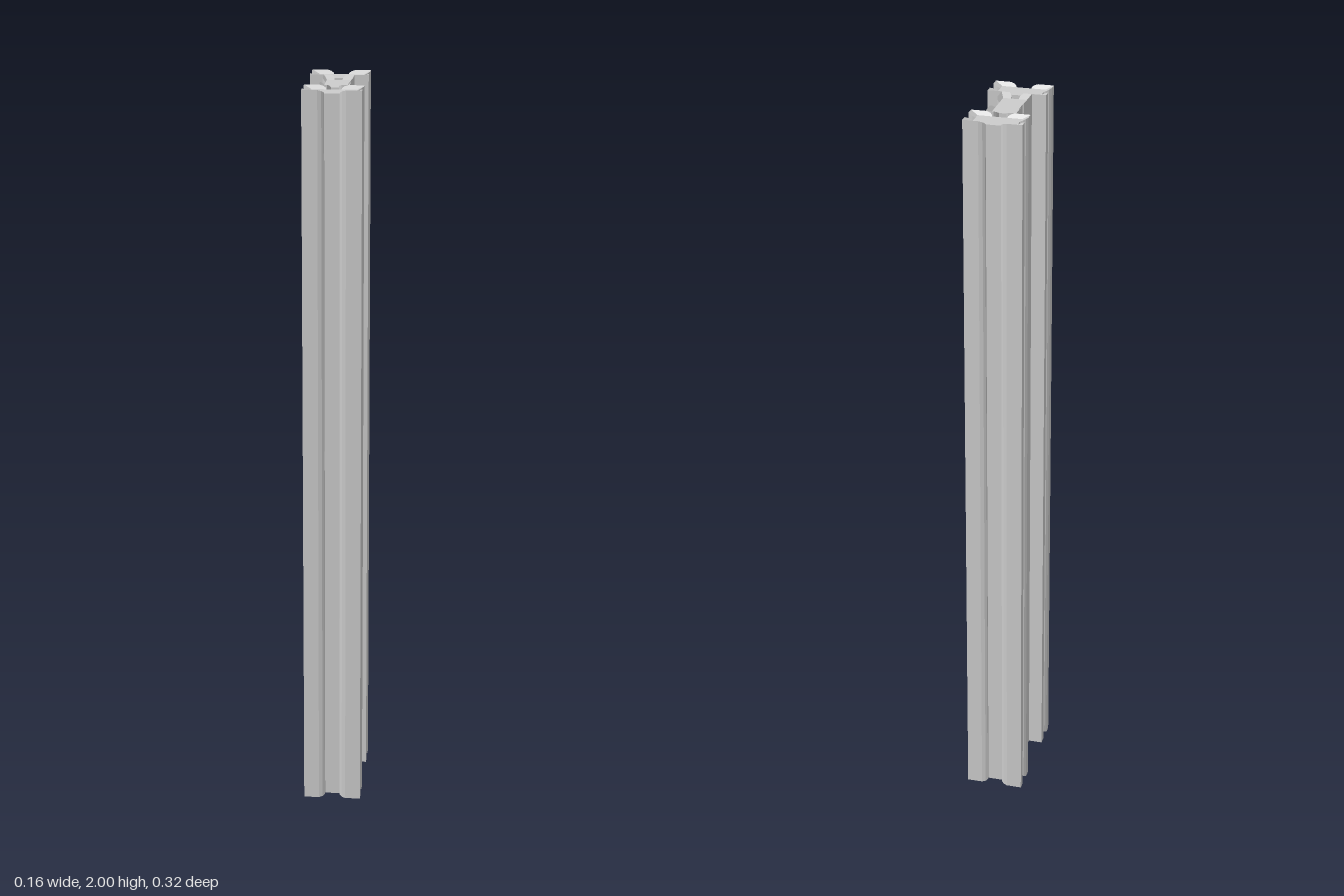
import * as THREE from 'three';

const H = 2, DROP = 0.01;            // bar height, recess of the core's ends
const A = 0.0585, B = 0.031;         // core half length and half width
const AO = 0.0785, BO = 0.0405;      // outer half length and half width

const material = new THREE.MeshStandardMaterial({ color: 0xcccccc, flatShading: true });

// Strip sections in one corner, each meeting its neighbour on a mitre line
const longSection = [[A, B], [AO, BO], [0.037, BO], [0.027, 0.038], [0.021, 0.034], [0.02, B]];
const shortSection = [[A, B], [AO, BO], [AO, 0.019], [0.073, 0.0135], [0.066, 0.011], [A, 0.0105]];

// Upright strip whose ends slope up from the core to the outer edge
function strip(section, sx, sz, name, slope) {
  const shape = new THREE.Shape(section.map(([x, z]) => new THREE.Vector2(x * sx, z * sz)));
  const geo = new THREE.ExtrudeGeometry(shape, { depth: H, bevelEnabled: false });
  geo.rotateX(-Math.PI / 2);
  const p = geo.attributes.position;
  for (let i = 0; i < p.count; i++) {
    const inset = DROP * (1 - slope(Math.abs(p.getX(i)), Math.abs(p.getZ(i))));
    p.setY(i, p.getY(i) > H / 2 ? H - inset : inset);
  }
  geo.computeVertexNormals();
  const mesh = new THREE.Mesh(geo, material);
  mesh.name = name;
  return mesh;
}

// One bar: a plain core with folded strips on its four corners
function bar(name) {
  const group = new THREE.Group();
  group.name = name;
  const core = new THREE.Mesh(new THREE.BoxGeometry(2 * A, H - 2 * DROP, 2 * B), material);
  core.position.y = H / 2;
  core.name = 'core';
  group.add(core);
  for (const sx of [-1, 1]) {
    for (const sz of [-1, 1]) {
      group.add(strip(longSection, sx, sz, 'faceStrip', (x, z) => (z - B) / (BO - B)));
      group.add(strip(shortSection, sx, sz, 'sideStrip', (x) => (x - A) / (AO - A)));
    }
  }
  return group;
}

export function createModel() {
  const model = new THREE.Group();
  model.name = 'column';

  // Front and back flanges
  const front = bar('frontFlange');
  front.position.z = 0.1195;
  const back = bar('backFlange');
  back.position.z = -0.1195;

  // Web: the same bar turned a quarter
  const web = bar('web');
  web.rotation.y = Math.PI / 2;

  model.add(front, back, web);
  return model;
}
